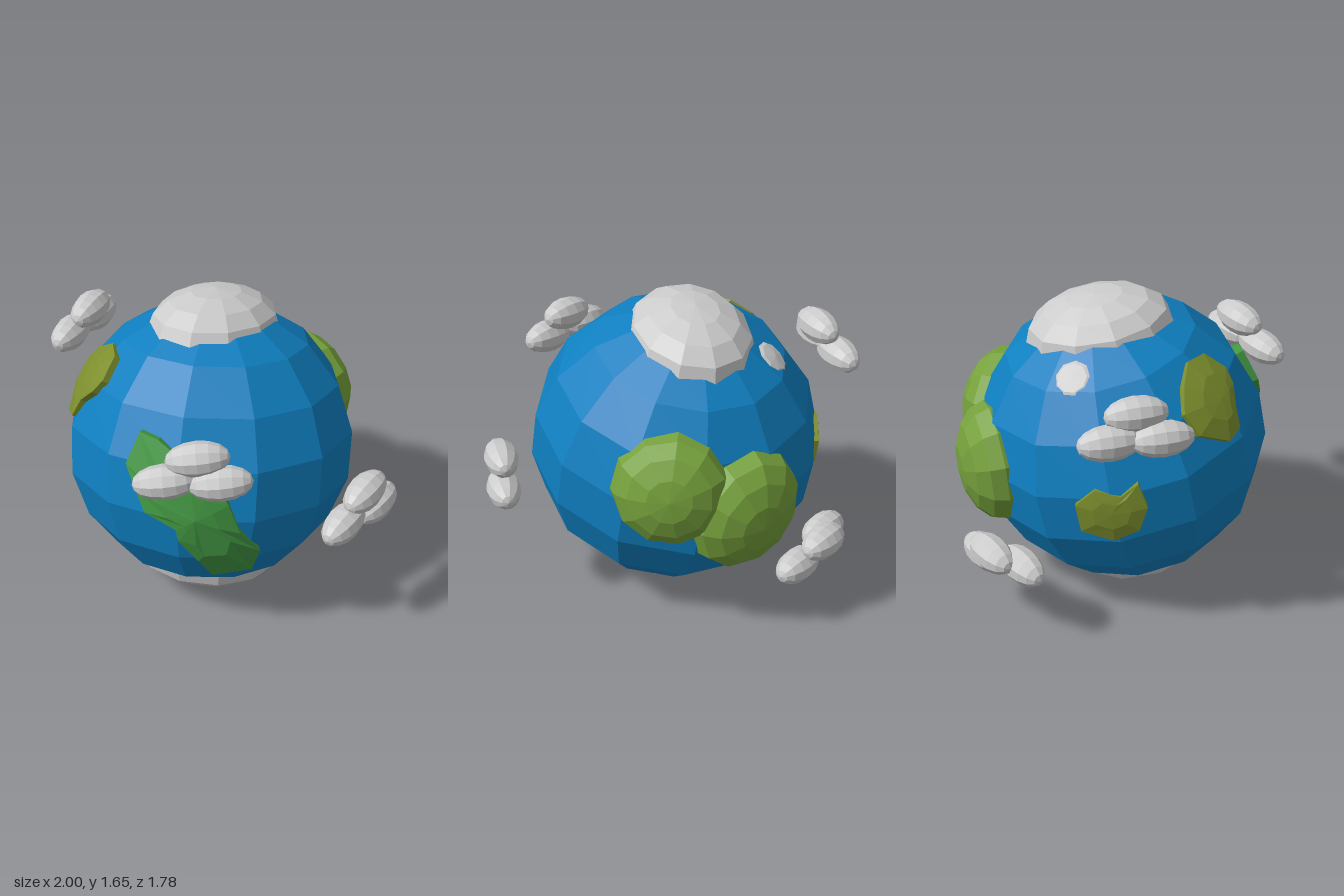
import * as THREE from 'three';

const CENTRE = new THREE.Vector3(-0.045, 0.8, 0);
const R = 0.77;
const WHITE = 0xcccccc, BLUE = 0x0f7fc0, GREEN = 0x439843, OLIVE = 0x76a13c, MOSS = 0x7d8f2e;

function mesh(name, geometry, color) {
  const material = new THREE.MeshStandardMaterial({ color, flatShading: true });
  const m = new THREE.Mesh(geometry, material);
  m.name = name;
  return m;
}

// Flattened ball sunk into the globe along a direction from its centre
function dome(name, color, dir, dist, radii, thick, twist = 0, segments = 11, rings = 8) {
  const g = new THREE.SphereGeometry(1, segments, rings);
  g.rotateY(twist);
  g.scale(radii[0], thick, radii[1]);
  const d = new THREE.Vector3(...dir).normalize();
  const m = mesh(name, g, color);
  m.quaternion.setFromUnitVectors(new THREE.Vector3(0, 1, 0), d);
  m.position.copy(CENTRE).addScaledVector(d, dist);
  return m;
}

// Thin land plate: a fan of rings that follows the globe inside an outline (clockwise from outside)
function land(name, color, centre, outline, project, height = 0.788) {
  const hub = project(...centre).normalize();
  const rim = outline.map((p) => project(...p).normalize());
  const rings = [[0.5, height], [0.95, height - 0.006], [1, 0.71]];
  const n = rim.length;
  const pos = [...hub.clone().multiplyScalar(height).add(CENTRE).toArray()];
  for (const [t, r] of rings)
    for (const p of rim)
      pos.push(...hub.clone().lerp(p, t).normalize().multiplyScalar(r).add(CENTRE).toArray());
  const index = [];
  for (let i = 0; i < n; i++) {
    const j = (i + 1) % n;
    index.push(0, 1 + j, 1 + i);
    for (let k = 0; k < rings.length - 1; k++) {
      const a = 1 + k * n + i, b = 1 + k * n + j;
      index.push(a, b, b + n, a, b + n, a + n);
    }
  }
  const g = new THREE.BufferGeometry();
  g.setAttribute('position', new THREE.Float32BufferAttribute(pos, 3));
  g.setIndex(index);
  g.computeVertexNormals();
  const m = mesh(name, g, color);
  m.material.side = THREE.DoubleSide;
  return m;
}

// Lift flat outline coordinates onto the globe
const onFront = (x, y) => {
  const u = x - CENTRE.x, v = y - CENTRE.y;
  return new THREE.Vector3(u, v, Math.sqrt(Math.max(0.01, R * R - u * u - v * v)));
};
const onRightSide = (z, y) => {
  const v = y - CENTRE.y;
  return new THREE.Vector3(-Math.sqrt(R * R - z * z - v * v), v, z);
};

// Three stretched puffs, long axis given as a horizontal direction
function cloud(name, axis, puffs) {
  const group = new THREE.Group();
  group.name = name;
  const dir = new THREE.Vector3(...axis).normalize();
  for (const p of puffs) {
    const g = new THREE.SphereGeometry(1, 10, 8);
    g.scale(0.088, 0.158, 0.088);
    const m = mesh('cloudPuff', g, WHITE);
    m.quaternion.setFromUnitVectors(new THREE.Vector3(0, 1, 0), dir);
    m.position.set(...p);
    group.add(m);
  }
  return group;
}

export function createModel() {
  const model = new THREE.Group();
  model.name = 'globe';

  // Ocean ball with a tilted axis
  const ocean = mesh('ocean', new THREE.SphereGeometry(R, 12, 9), BLUE);
  ocean.rotation.set(-0.19, -0.1, 0.09, 'ZXY');
  ocean.position.copy(CENTRE);
  model.add(ocean);

  // Polar ice
  model.add(
    dome('northIce', WHITE, [-0.06, 0.77, -0.13], 0.645, [0.325, 0.385], 0.205, 0.2),
    dome('southIce', WHITE, [0.075, -0.77, 0.13], 0.6, [0.425, 0.455], 0.205, 0.3, 12),
    dome('iceIsland', WHITE, [-0.45, 0.56, -0.27], 0.685, [0.155, 0.155], 0.085, 0, 9, 6)
  );

  // Rounded land masses at the back
  model.add(
    dome('backLandEast', OLIVE, [0.23, 0.13, -0.72], 0.68, [0.3, 0.3], 0.19),
    dome('backLandWest', OLIVE, [-0.18, -0.06, -0.72], 0.69, [0.3, 0.34], 0.2)
  );

  // Land plates at the front and side
  model.add(
    land('frontLand', GREEN, [0.35, 0.85], [
      [-0.04, 1.08], [-0.01, 1.24], [0.1, 1.23], [0.28, 1.14], [0.4, 1.08], [0.48, 0.94],
      [0.53, 0.76], [0.58, 0.6], [0.51, 0.42], [0.36, 0.4], [0.34, 0.55], [0.27, 0.7],
      [0.26, 0.78], [0.1, 0.85], [0.03, 0.98]
    ], onFront),
    land('frontIsland', MOSS, [-0.5, 1.22], [
      [-0.59, 1.02], [-0.67, 1.1], [-0.645, 1.21], [-0.55, 1.32], [-0.43, 1.4], [-0.34, 1.4],
      [-0.33, 1.31], [-0.38, 1.24], [-0.46, 1.16], [-0.51, 1.05]
    ], onFront),
    land('sideIsland', MOSS, [-0.09, 0.77], [
      [-0.25, 0.64], [-0.28, 0.8], [-0.18, 0.9], [-0.05, 0.87], [0.04, 0.94], [0.09, 0.8],
      [0.05, 0.66], [-0.08, 0.59]
    ], onRightSide, 0.778)
  );

  // Floating clouds
  model.add(
    cloud('frontCloud', [0.8, 0.12, -0.58], [[0.27, 1.13, 0.79], [0.385, 1.25, 0.68], [0.5, 1.14, 0.65]]),
    cloud('leftCloud', [0, 0.1, -1], [[0.88, 0.73, 0.12], [0.9, 0.84, -0.04], [0.912, 0.715, -0.14]]),
    cloud('rightCloud', [0.22, 0, 1], [[-0.84, 1.335, 0.02], [-0.885, 1.225, 0.14], [-0.91, 1.225, -0.11]]),
    cloud('backCloud', [0.8, 0.08, -0.58], [[-0.65, 0.46, -0.69], [-0.71, 0.42, -0.54], [-0.5, 0.37, -0.73]])
  );

  return model;
}
